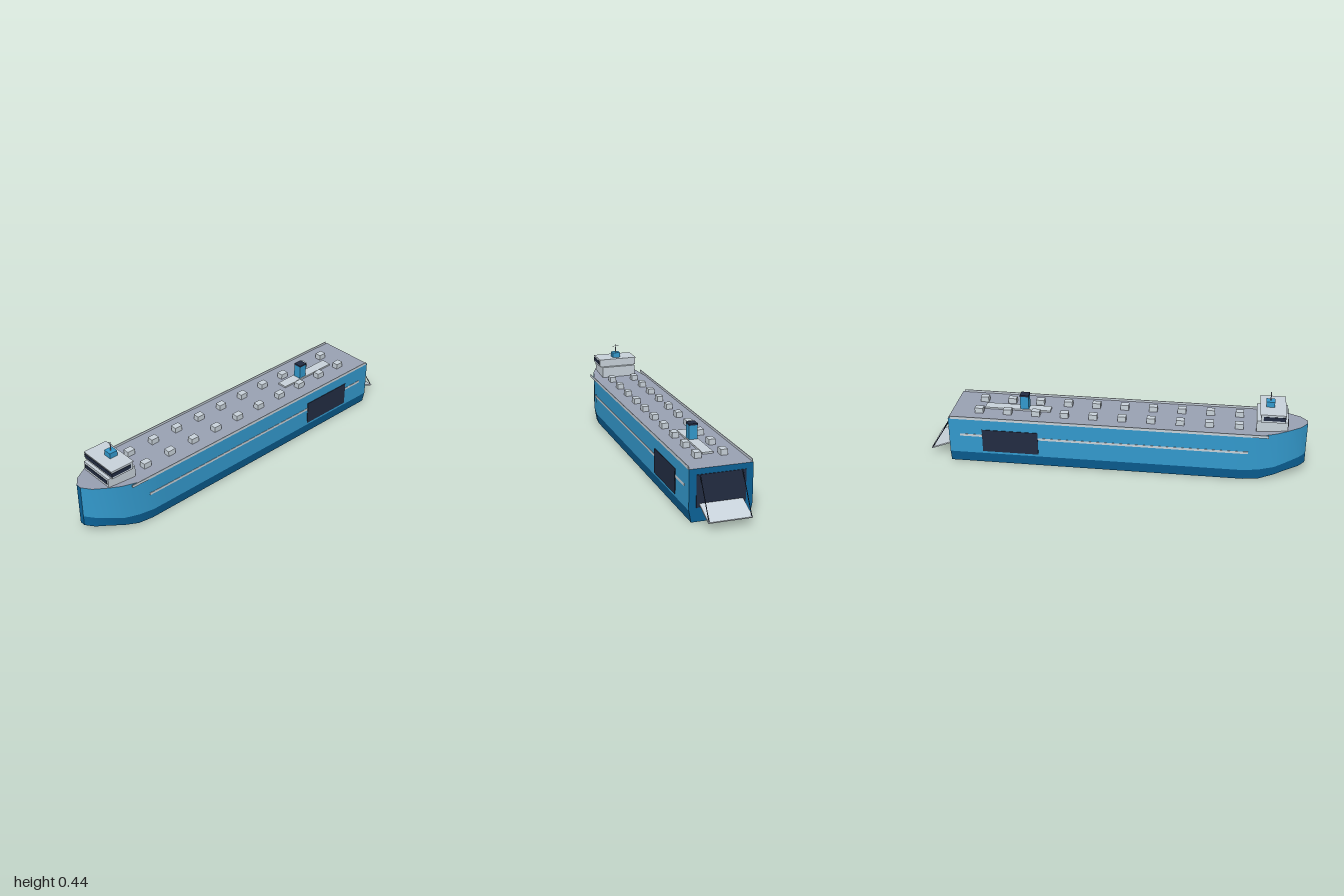
import * as THREE from 'three';

const mat = (name, color) => {
  const m = new THREE.MeshStandardMaterial({ color });
  m.name = name;
  return m;
};

export function createModel() {
  const ship = new THREE.Group();
  ship.name = 'cargoShip';
  const blue = mat('hull blue', 0x3399cc);
  const darkBlue = mat('dark blue', 0x0b6298);
  const light = mat('light grey', 0xc8d2da);
  const deckGrey = mat('deck grey', 0x99a1b3);
  const navy = mat('navy', 0x222c42);

  const add = (name, geo, material, parent = ship) => {
    const mesh = new THREE.Mesh(geo, material);
    mesh.name = name;
    parent.add(mesh);
    return mesh;
  };
  // box given by its limits on each axis
  const box = (name, m, [x0, x1], [y0, y1], [z0, z1], parent) => {
    const b = add(name, new THREE.BoxGeometry(x1 - x0, y1 - y0, z1 - z0), m, parent);
    b.position.set((x0 + x1) / 2, (y0 + y1) / 2, (z0 + z1) / 2);
    return b;
  };
  // thin rod between two points
  const rod = (name, m, a, b, r, parent) => {
    const A = new THREE.Vector3(...a), B = new THREE.Vector3(...b);
    const mesh = add(name, new THREE.CylinderGeometry(r, r, A.distanceTo(B), 8), m, parent);
    mesh.position.copy(A).add(B).multiplyScalar(0.5);
    mesh.quaternion.setFromUnitVectors(new THREE.Vector3(0, 1, 0), B.sub(A).normalize());
    return mesh;
  };
  // surface between two lines of points; lower line first, running towards -z on the +x side
  const strip = (name, m, lower, upper) => {
    const pos = [], idx = [];
    lower.forEach((p, i) => {
      pos.push(...p, ...upper[i]);
      if (i) {
        const a = 2 * (i - 1);
        idx.push(a, a + 2, a + 1, a + 1, a + 2, a + 3);
      }
    });
    const g = new THREE.BufferGeometry();
    g.setAttribute('position', new THREE.Float32BufferAttribute(pos, 3));
    g.setIndex(idx);
    g.computeVertexNormals();
    return add(name, g, m);
  };

  // hull stations: z, half width, keel half width, keel y, paint line y, deck y
  const stations = [
    [1.0, 0.015, 0.015, 0.05, 0.105, 0.281],
    [0.965, 0.06, 0.058, 0.048, 0.104, 0.279],
    [0.9, 0.1, 0.093, 0.039, 0.09, 0.275],
    [0.84, 0.127, 0.117, 0.022, 0.073, 0.269],
    [0.76, 0.146, 0.136, 0.002, 0.063, 0.262],
    [0.68, 0.158, 0.146, 0, 0.06, 0.259],
    [0.6, 0.158, 0.146, 0, 0.06, 0.259],
    [-0.88, 0.158, 0.146, 0, 0.06, 0.259],
  ];
  const line = (s, xi, yi) => stations.map((p) => [s * p[xi], p[yi], p[0]]);
  for (const s of [1, -1]) {
    const side = s > 0 ? 'left' : 'right';
    const pair = (a, b) => (s > 0 ? [a, b] : [b, a]);
    strip(side + 'HullSide', blue, ...pair(line(s, 1, 4), line(s, 1, 5)));
    strip(side + 'LowerHull', darkBlue, ...pair(line(s, 2, 3), line(s, 1, 4)));
  }
  strip('deck', deckGrey, line(1, 1, 5), line(-1, 1, 5));
  strip('hullBottom', darkBlue, line(-1, 2, 3), line(1, 2, 3));

  // flat stem and transom
  const endPlate = (name, p, back) => {
    const s = new THREE.Shape([
      [-p[2], p[3]], [p[2], p[3]], [p[1], p[4]], [p[1], p[5]], [-p[1], p[5]], [-p[1], p[4]],
    ].map((q) => new THREE.Vector2(...q)));
    const mesh = add(name, new THREE.ShapeGeometry(s), darkBlue);
    if (back) mesh.rotation.y = Math.PI;
    mesh.position.z = p[0];
  };
  endPlate('bowStem', stations[0], false);
  endPlate('transom', stations[stations.length - 1], true);

  // side stripe, side door and deck rail on both sides
  for (const s of [1, -1]) {
    const xs = (a, b) => (s > 0 ? [a, b] : [-b, -a]);
    box('sideStripe', light, xs(0.156, 0.1595), [0.158, 0.171], [-0.82, 0.7]);
    box('sideDoor', navy, xs(0.155, 0.161), [0.073, 0.201], [-0.7, -0.4]);
    box('deckRail', light, xs(0.155, 0.159), [0.256, 0.271], [-0.87, 0.8]);
  }

  // stern opening, ramp and cables
  const stern = new THREE.Group();
  stern.name = 'sternRamp';
  ship.add(stern);
  box('sternOpening', navy, [-0.122, 0.122], [0.07, 0.23], [-0.883, -0.876], stern);
  const ramp = add('rampPlate', new THREE.BoxGeometry(0.216, 0.007, 0.13), light, stern);
  ramp.position.set(0, 0.064, -0.939);
  ramp.rotation.x = -Math.atan2(0.047, 0.12);
  for (const x of [-0.104, 0.104])
    rod('rampCable', navy, [x, 0.226, -0.882], [x, 0.043, -0.996], 0.0022, stern);

  // bridge house at the bow
  const bridge = new THREE.Group();
  bridge.name = 'bridgeHouse';
  ship.add(bridge);
  box('lowerHouse', light, [-0.098, 0.098], [0.255, 0.322], [0.735, 0.895], bridge);
  box('lowerWindow', navy, [-0.088, 0.088], [0.289, 0.309], [0.892, 0.898], bridge);
  box('upperHouse', light, [-0.109, 0.109], [0.322, 0.362], [0.755, 0.878], bridge);
  box('bridgeWindow', navy, [-0.108, 0.108], [0.332, 0.354], [0.875, 0.881], bridge);
  for (const x of [-0.109, 0.109])
    box('bridgeSideWindow', navy, [x - 0.002, x + 0.002], [0.333, 0.354], [0.768, 0.881], bridge);
  box('bridgeRoof', light, [-0.111, 0.111], [0.361, 0.366], [0.75, 0.882], bridge);
  box('roofCabin', blue, [-0.022, 0.022], [0.365, 0.395], [0.779, 0.823], bridge);
  rod('mast', deckGrey, [0, 0.395, 0.801], [0, 0.443, 0.801], 0.0025, bridge);
  rod('mastArm', deckGrey, [-0.018, 0.432, 0.801], [0.018, 0.432, 0.801], 0.0015, bridge);

  // funnel on its base plate
  box('funnelBase', light, [-0.027, 0.027], [0.255, 0.268], [-0.71, -0.355]);
  box('funnel', blue, [-0.022, 0.022], [0.265, 0.34], [-0.518, -0.472]);
  box('funnelCap', navy, [-0.0225, 0.0225], [0.339, 0.348], [-0.5185, -0.4715]);

  // two rows of deck vents
  for (let i = 0; i < 10; i++)
    for (const x of [-0.066, 0.066]) {
      const z = 0.647 - i * 0.153;
      box('deckVent', light, [x - 0.017, x + 0.017], [0.255, 0.288], [z - 0.022, z + 0.022]);
    }
  return ship;
}
